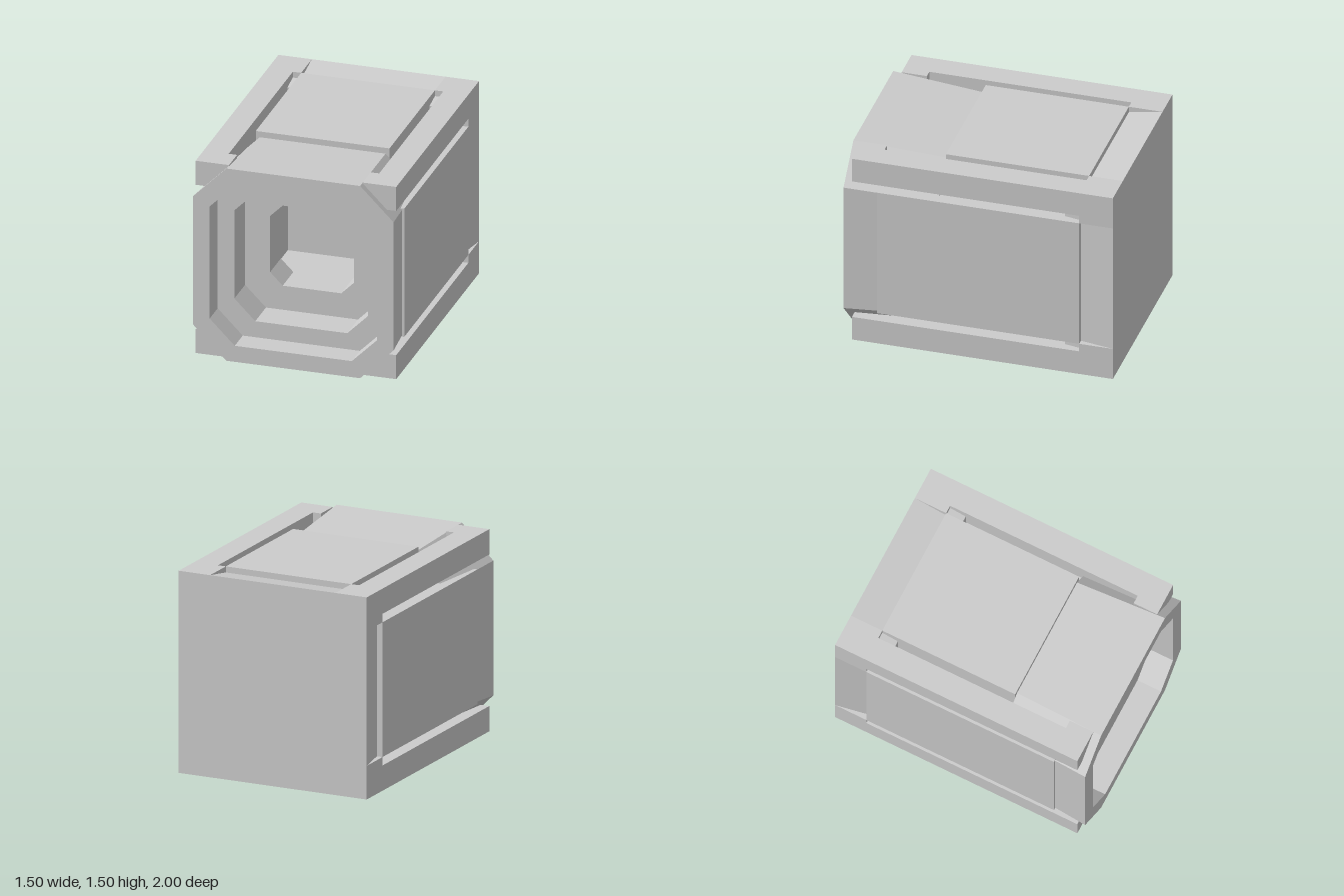
import * as THREE from 'three';

const grey = new THREE.MeshStandardMaterial({ color: 0xcccccc });
grey.name = 'plain grey';

function add(parent, name, geometry) {
  const mesh = new THREE.Mesh(geometry, grey);
  mesh.name = name;
  parent.add(mesh);
  return mesh;
}

// Box given by its limits on each axis
function block(x0, x1, y0, y1, z0, z1) {
  const g = new THREE.BoxGeometry(x1 - x0, y1 - y0, z1 - z0);
  return g.translate((x0 + x1) / 2, (y0 + y1) / 2, (z0 + z1) / 2);
}

// Octagon with half width h and flat half length f
function octagon(h, f, z) {
  return [[h, -f], [h, f], [f, h], [-f, h], [-h, f], [-h, -f], [-f, -h], [f, -h]]
    .map(([x, y]) => [x, y, z]);
}

// Faceted skin through a list of octagonal rings
function loft(rings) {
  const pos = [];
  for (let i = 0; i < rings.length - 1; i++) {
    for (let j = 0; j < 8; j++) {
      const k = (j + 1) % 8;
      const a = rings[i][j], b = rings[i][k], c = rings[i + 1][k], d = rings[i + 1][j];
      pos.push(...a, ...b, ...c, ...a, ...c, ...d);
    }
  }
  const g = new THREE.BufferGeometry();
  g.setAttribute('position', new THREE.Float32BufferAttribute(pos, 3));
  g.computeVertexNormals();
  return g;
}

export function createModel() {
  const group = new THREE.Group();
  group.name = 'steppedHousing';
  const body = new THREE.Group();
  body.name = 'body';
  body.position.y = 0.75;
  group.add(body);

  // Tapered octagonal sleeve with a three-step bore
  add(body, 'frontSleeve', loft([
    octagon(0.705, 0.47, 0.3125),
    octagon(0.75, 0.5, 1),
    octagon(0.625, 0.4375, 1),
    octagon(0.625, 0.4375, 0.8125),
    octagon(0.5, 0.3438, 0.8125),
    octagon(0.5, 0.3438, 0.5625),
    octagon(0.3125, 0.2188, 0.5625),
    octagon(0.3125, 0.2188, 0.3125),
    octagon(0.705, 0.47, 0.3125),
  ]));

  // Back slab, narrowing toward the front, and the end wall of the chamber
  const slab = new THREE.CylinderGeometry(0.6825 * Math.SQRT2, 0.75 * Math.SQRT2, 0.375, 4)
    .rotateY(Math.PI / 4).rotateX(Math.PI / 2).translate(0, 0, -0.8125).toNonIndexed();
  slab.computeVertexNormals();
  add(body, 'backSlab', slab);
  add(body, 'chamberEndWall', block(-0.5, 0.5, -0.5, 0.5, -0.63, -0.4375));

  for (const s of [-1, 1]) {
    // Wall plates around the chamber
    const mid = s * 0.625;
    add(body, s > 0 ? 'leftPlate' : 'rightPlate',
      block(mid - 0.125, mid + 0.125, -0.5, 0.5, -0.75, 0.75));
    add(body, s > 0 ? 'topPlate' : 'bottomPlate',
      block(-0.5, 0.5, mid - 0.125, mid + 0.125, -0.75, 0.3125));

    // Corner rails: slim middle, wider front foot, square back block
    for (const t of [-1, 1]) {
      const rail = new THREE.Group();
      rail.name = (t > 0 ? 'top' : 'bottom') + (s > 0 ? 'Left' : 'Right') + 'Rail';
      body.add(rail);
      const corner = (name, x, y, z0, z1) => add(rail, name, block(
        Math.min(s * x, s * 0.75), Math.max(s * x, s * 0.75),
        Math.min(t * y, t * 0.75), Math.max(t * y, t * 0.75), z0, z1));
      corner('railBar', 0.5625, 0.5625, -0.75, 0.75);
      corner('railFront', 0.5, 0.5625, 0.75, 0.9375);
      corner('railBack', 0.5, 0.5, -1, -0.75);
    }
  }
  return group;
}
